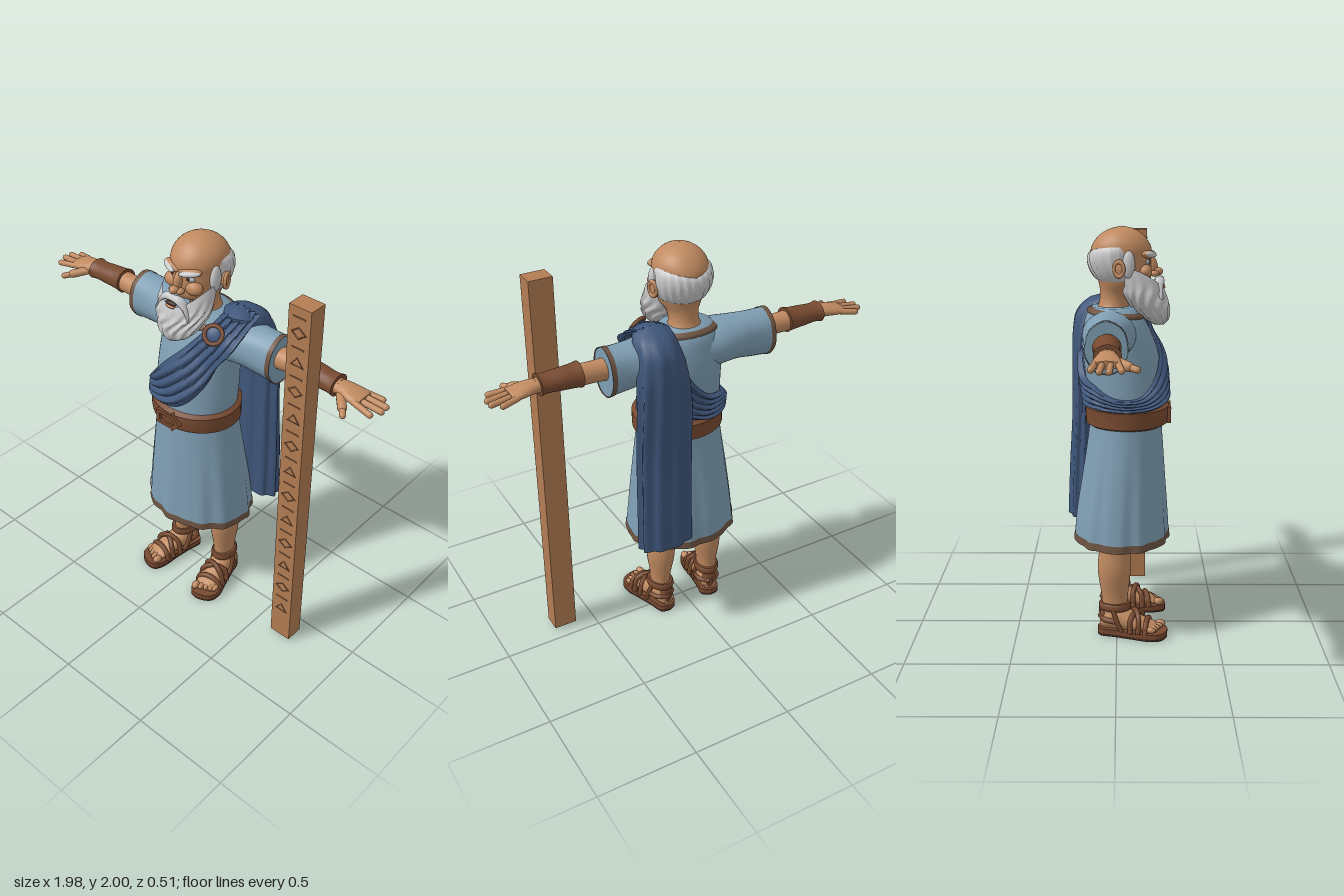
import * as THREE from 'three';
import { mergeVertices, toCreasedNormals } from 'three/addons/utils/BufferGeometryUtils.js';

const { sin, cos, PI, min, max, abs } = Math;
const TAU = PI * 2;
const V = (x, y, z) => new THREE.Vector3(x, y, z);
const paint = (name, color, side = THREE.FrontSide) => {
  const m = new THREE.MeshStandardMaterial({ color, side });
  m.name = name;
  return m;
};
const skin = paint('skin', 0xc08a60), tunic = paint('tunicBlue', 0x7f9eb3), cloak = paint('cloakBlue', 0x3f567a, THREE.DoubleSide);
const leather = paint('leather', 0x784a30), trim = paint('trim', 0x6e5442, THREE.DoubleSide), hair = paint('hair', 0xc9c9cb);
const wood = paint('wood', 0xb27c53), dark = paint('darkLeather', 0x3f261c), carving = paint('carving', 0x8d5d3c);
const eyeWhite = paint('eye', 0xa9b4b8);

// Grid surface, welded and smoothed
function grid(nu, nv, f, crease = 0.95) {
  const pos = [], index = [];
  for (let j = 0; j <= nv; j++) for (let i = 0; i <= nu; i++) pos.push(...f(i / nu, j / nv, j).toArray());
  for (let j = 0; j < nv; j++) for (let i = 0; i < nu; i++) {
    const a = j * (nu + 1) + i, b = a + 1, c = a + nu + 1, d = c + 1;
    index.push(a, b, d, a, d, c);
  }
  const g = new THREE.BufferGeometry();
  g.setAttribute('position', new THREE.Float32BufferAttribute(pos, 3));
  g.setIndex(index);
  return toCreasedNormals(mergeVertices(g, 1e-5), crease);
}
// Rows are [t, centre, radius, centre, radius]; body rows are [y, rx, front, back]
const body = rows => rows.map(([y, rx, f, b]) => [y, 0, rx, (f + b) / 2, (f - b) / 2]);
const sampler = rows => {
  const s = new THREE.CubicInterpolant(new Float32Array(rows.map(r => r[0])), new Float32Array(rows.flatMap(r => r.slice(1))), 4);
  return t => [...s.evaluate(t)];
};
const place = {
  y: (t, c, r, d, q, a) => V(c + r * sin(a), t, d + q * cos(a)),
  x: (t, c, r, d, q, a) => V(t, c + r * cos(a), d + q * sin(a)),
  z: (t, c, r, d, q, a) => V(d - q * sin(a), c + r * cos(a), t),
};
// Ellipses lofted along an axis, closed at both ends unless cap is false
function loft(rows, axis, { nu = 32, nv = 20, ripple = () => 1, cap = true, from = rows[0][0], to = rows[rows.length - 1][0] } = {}) {
  const at = sampler(rows), e = cap ? 1 : 0;
  return grid(nu, nv + 2 * e, (u, v, j) => {
    const t = from + (to - from) * min(1, max(0, (j - e) / nv)), a = (u % 1) * TAU;
    const k = cap && (j === 0 || j === nv + 2) ? 0 : ripple(a, t);
    const [c, r, d, q] = at(t);
    return place[axis](t, c, r * k, d, q * k, a);
  });
}
// Layer lying over a lofted body between two heights
function shell(rows, a0, a1, lo, hi, off, nu = 64, nv = 14) {
  const at = sampler(rows);
  return grid(nu, nv, (u, v) => {
    const a = a0 + (a1 - a0) * u, y = lo(a) + (hi(a) - lo(a)) * v, [c, r, d, q] = at(y), o = off(a, v, u);
    return place.y(y, c, r + o, d, q + o, a);
  });
}
function add(parent, name, geo, mat, p = [0, 0, 0], s = [1, 1, 1], r = [0, 0, 0]) {
  const m = new THREE.Mesh(geo, mat);
  m.name = name;
  m.position.set(...p); m.scale.set(...s); m.rotation.set(...r);
  parent.add(m);
  return m;
}
const ball = new THREE.SphereGeometry(1, 24, 16);
const tube = (pts, r) => new THREE.TubeGeometry(new THREE.CatmullRomCurve3(pts.map(p => V(...p))), 20, r, 8);
function capsule(parent, name, a, b, r, mat) {
  const p = V(...a), q = V(...b), m = add(parent, name, new THREE.CapsuleGeometry(r, p.distanceTo(q), 6, 12), mat);
  m.position.copy(p).add(q).multiplyScalar(0.5);
  m.quaternion.setFromUnitVectors(V(0, 1, 0), q.sub(p).normalize());
}
// Mirrored copy of a group with corners reordered
function mirror(group, name) {
  const out = new THREE.Group();
  out.name = name;
  group.updateMatrixWorld(true);
  group.traverse(m => {
    if (!m.isMesh) return;
    const g = m.geometry.index ? m.geometry.toNonIndexed() : m.geometry.clone();
    g.applyMatrix4(m.matrixWorld).scale(-1, 1, 1);
    for (const a of Object.values(g.attributes)) for (let i = 0; i < a.count; i += 3) for (let k = 0; k < a.itemSize; k++) {
      const t = a.getComponent(i + 1, k);
      a.setComponent(i + 1, k, a.getComponent(i + 2, k)); a.setComponent(i + 2, k, t);
    }
    add(out, m.name, g, m.material);
  });
  return out;
}

const torso = body([[1, .205, .21, -.13], [1.1, .205, .232, -.13], [1.2, .208, .225, -.14], [1.35, .2, .212, -.16], [1.45, .2, .185, -.168],
  [1.53, .195, .15, -.16], [1.59, .165, .115, -.145], [1.625, .125, .085, -.12]]);
const skirt = body([[.47, .283, .255, -.21], [.6, .27, .248, -.2], [.8, .247, .235, -.17], [1, .22, .222, -.14], [1.1, .207, .215, -.13]]);
const head = body([[1.59, .095, .06, -.11], [1.64, .072, .06, -.085], [1.69, .075, .09, -.08], [1.73, .1, .15, -.085], [1.79, .117, .163, -.105],
  [1.85, .125, .163, -.122], [1.9, .126, .163, -.122], [1.94, .112, .142, -.1], [1.975, .077, .105, -.06], [1.992, .042, .07, -.02], [2, .008, .035, .015]]);
const beard = body([[1.535, .015, .225, .18], [1.56, .068, .245, .14], [1.62, .115, .25, .07], [1.68, .137, .235, .02], [1.73, .135, .215, 0], [1.82, .128, .165, -.03]]);

function buildSash() {
  const curve = pts => new THREE.CatmullRomCurve3(pts.map(p => V(...p)));
  const top = curve([[.12, 1.65, -.05], [.12, 1.6, .09], [.03, 1.48, .17], [-.1, 1.34, .2], [-.2, 1.22, .12], [-.21, 1.21, 0], [-.17, 1.26, -.12],
    [-.05, 1.3, -.17], [.06, 1.42, -.17], [.1, 1.6, -.12]]);
  const low = curve([[.28, 1.645, -.05], [.27, 1.54, .1], [.19, 1.36, .15], [.05, 1.19, .22], [-.13, 1.15, .17], [-.215, 1.14, .05], [-.17, 1.14, -.08],
    [-.03, 1.15, -.15], [.1, 1.22, -.17], [.2, 1.4, -.16]]);
  const at = sampler(torso);
  return grid(90, 40, (u, v) => {
    const p = top.getPoint(u).lerp(low.getPoint(u), v), [, rx, cz, rz] = at(min(p.y, 1.62));
    const d = Math.hypot(p.x / rx, (p.z - cz) / rz), k = THREE.MathUtils.smoothstep(p.y, 1.35, 1.55);
    const s = THREE.MathUtils.lerp(1, max(1, d), k) / d;
    p.x *= s; p.z = cz + (p.z - cz) * s;
    const n = V(p.x / rx, max(0, (p.y - 1.5) * 8), (p.z - cz) / rz).normalize();
    const edge = min(1, 9 * min(v, 1 - v));
    return p.addScaledVector(n, .004 + edge * (.014 + .018 * abs(sin(PI * (5 * v + .5 * sin(4 * u))))));
  });
}

function buildHead(root) {
  const g = new THREE.Group();
  g.name = 'headGroup';
  add(g, 'head', loft(head, 'y', { nu: 40, nv: 44 }), skin);
  add(g, 'hairFringe', shell(head, 1.4, TAU - 1.4, () => 1.745, a => 1.885 + .03 * abs(sin(a)), (a, v, u) =>
    -.004 + min(1, 8 * min(u, 1 - u)) * sin(PI * v) ** .5 * (.025 + .004 * sin(24 * a + 5 * v)), 100, 14), hair);
  add(g, 'beard', shell(beard, -PI, PI, () => 1.535, a => 1.715 + .09 * sin(a) ** 2, (a, v) =>
    (.006 * sin(13 * a + 4 * sin(6 * v)) - .002) * sin(PI * min(1, v + .1)), 110, 24), hair);
  const side = new THREE.Group();
  add(side, 'sideburn', ball, hair, [.119, 1.83, .055], [.022, .065, .03]);
  add(side, 'ear', ball, skin, [.137, 1.81, .012], [.014, .042, .03], [0, .35, 0]);
  add(side, 'earRim', new THREE.TorusGeometry(.024, .008, 8, 18), skin, [.147, 1.812, .01], [1, 1.4, 1], [0, PI / 2 + .3, 0]);
  add(side, 'brow', ball, skin, [.05, 1.872, .143], [.055, .02, .03], [0, .3, .1]);
  add(side, 'eyebrow', ball, hair, [.06, 1.872, .159], [.05, .014, .018], [0, .5, .12]);
  add(side, 'eyeball', ball, eyeWhite, [.05, 1.838, .143], [.024, .014, .012], [0, .25, 0]);
  add(side, 'iris', ball, dark, [.048, 1.838, .153], [.009, .011, .004], [0, .2, 0]);
  add(side, 'cheek', ball, skin, [.062, 1.793, .132], [.045, .035, .034]);
  add(side, 'nostril', ball, skin, [.022, 1.78, .178], [.017, .015, .022]);
  add(side, 'moustache', loft([[.0, 1.752, .012, .205, .018], [.04, 1.748, .018, .203, .022], [.075, 1.715, .017, .196, .022], [.098, 1.67, .008, .205, .012]], 'x', { nu: 16, nv: 12 }), hair);
  g.add(side, mirror(side, 'rightFace'));
  side.name = 'leftFace';
  add(g, 'noseBridge', ball, skin, [0, 1.822, .164], [.02, .05, .028], [-.3, 0, 0]);
  add(g, 'noseTip', ball, skin, [0, 1.788, .193], [.022, .02, .026]);
  add(g, 'mouth', ball, dark, [0, 1.728, .215], [.032, .011, .012]);
  add(g, 'lowerLip', ball, skin, [0, 1.715, .22], [.026, .008, .012]);
  root.add(g);
}

function buildArm() {
  const g = new THREE.Group();
  g.name = 'leftArm';
  const sleeve = [[.06, 1.5, .105, -.035, .12], [.14, 1.503, .113, -.035, .128], [.24, 1.503, .108, -.04, .115], [.33, 1.495, .113, -.043, .1], [.43, 1.49, .118, -.045, .097]];
  add(g, 'sleeve', loft(sleeve, 'x', { nu: 40, ripple: (a, t) => 1 + .012 * max(0, t - .15) * 4 * cos(7 * a) }), tunic);
  add(g, 'sleeveTrim', loft(sleeve, 'x', { nu: 40, nv: 3, from: .41, to: .434, cap: false, ripple: a => 1.03 + .012 * cos(7 * a) }), trim);
  add(g, 'forearm', loft([[.36, 1.5, .058, -.04, .058], [.48, 1.505, .05, -.04, .05], [.6, 1.508, .05, -.04, .05], [.76, 1.508, .033, -.035, .042]], 'x'), skin);
  add(g, 'bracer', loft([[.55, 1.512, .061, -.04, .064], [.575, 1.512, .056, -.04, .06], [.65, 1.511, .05, -.038, .057], [.725, 1.51, .045, -.035, .056], [.748, 1.51, .05, -.035, .061]], 'x'), leather);
  add(g, 'palm', loft([[.74, 1.51, .03, -.035, .038], [.79, 1.508, .03, -.035, .05], [.85, 1.502, .024, -.036, .06], [.885, 1.498, .017, -.036, .056]], 'x'), skin);
  [[-.084, -.1, .935], [-.055, -.065, .975], [-.02, -.025, .978], [.01, .025, .955]].forEach(([z0, z1, x]) =>
    capsule(g, 'finger', [.86, 1.499, z0], [x, 1.488, z1], .0145, skin));
  capsule(g, 'thumb', [.785, 1.497, .0], [.835, 1.482, .055], .021, skin);
  capsule(g, 'thumbTip', [.832, 1.482, .052], [.862, 1.475, .088], .015, skin);
  return g;
}

function buildLeg() {
  const g = new THREE.Group();
  g.name = 'leftLeg';
  add(g, 'leg', loft([[.06, .142, .046, -.008, .056], [.2, .14, .049, -.01, .065], [.34, .136, .07, -.012, .082], [.45, .131, .067, -.008, .078], [.6, .13, .075, 0, .085]], 'y'), skin);
  const f = new THREE.Group();
  f.name = 'foot';
  f.position.set(.143, 0, 0); f.rotation.y = .2;
  const outline = new THREE.Shape().setFromPoints(new THREE.SplineCurve([[0, -.097], [.046, -.075], [.054, 0], [.068, .1], [.077, .17], [.058, .23], [-.005, .253],
    [-.06, .235], [-.07, .17], [-.058, .09], [-.05, 0], [-.046, -.075], [0, -.097]].map(p => new THREE.Vector2(...p))).getPoints(48).slice(0, -1));
  const sole = depth => new THREE.ExtrudeGeometry(outline, { depth, bevelEnabled: false }).rotateX(PI / 2);
  add(f, 'soleBottom', sole(.012), dark, [0, .012, 0]);
  add(f, 'sole', sole(.024), leather, [0, .036, 0]);
  add(f, 'footBody', loft([[-.08, .06, .028, 0, .034], [-.05, .08, .055, 0, .048], [0, .09, .065, 0, .054], [.06, .078, .052, 0, .056], [.12, .063, .036, 0, .06], [.18, .052, .022, 0, .058], [.205, .046, .014, 0, .052]], 'z'), skin);
  [-.046, -.016, .01, .034, .055].forEach((x, i) => add(f, 'toe', ball, skin, [x, .052, .212 - .008 * i], [i ? .013 : .019, i ? .015 : .019, .026]));
  [[.155, .155, .09], [.075, .12, .13], [.12, .08, .122]].forEach(([z0, z1, h]) =>
    add(f, 'footStrap', tube([[-.066, .03, z0], [-.05, h * .8, z0], [0, h, (z0 + z1) / 2], [.05, h * .8, z1], [.068, .03, z1]], .013), leather));
  for (const s of [-1, 1]) {
    add(f, 'sideStrap', tube([[s * .052, .15, -.01], [s * .058, .09, .01], [s * .055, .03, .035]], .012), leather);
    add(f, 'heelStrap', tube([[s * .054, .08, .01], [s * .047, .085, -.045], [0, .09, -.085]], .014), leather);
  }
  add(f, 'heelGuard', ball, leather, [0, .085, -.062], [.038, .065, .024]);
  add(f, 'ankleBand', loft([[.132, 0, .058, -.01, .074], [.14, 0, .063, -.01, .079], [.162, 0, .063, -.01, .079], [.17, 0, .058, -.01, .074]], 'y', { nv: 6 }), leather);
  g.add(f);
  return g;
}

function buildStaff(root) {
  const g = new THREE.Group();
  g.name = 'staff';
  add(g, 'post', new THREE.BoxGeometry(.115, 1.94, .09), wood, [.658, .98, .11]);
  // Carved ornament: bars between triangles and diamonds
  for (let i = 0; i < 12; i++) {
    const y = .2 + i * .148;
    add(g, 'carvedBar', new THREE.BoxGeometry(.065, .007, .006), carving, [.658, y + .074, .155]);
    add(g, 'carvedMark', new THREE.TorusGeometry(.03, .004, 6, 3 + i % 2), carving, [.658, y, .155], [.9, 1.2, 1], [0, 0, PI / 2]);
  }
  root.add(g);
}

export function createModel() {
  const root = new THREE.Group();
  root.name = 'robedElder';
  // Tunic, belt and trims
  const pleat = (a, t) => 1 + .03 * (1.1 - t) * (cos(11 * a) + .6 * cos(17 * a + 1));
  add(root, 'tunicTop', loft(torso, 'y', { nu: 48, nv: 30 }), tunic);
  add(root, 'skirt', loft(skirt, 'y', { nu: 120, nv: 24, ripple: pleat }), tunic);
  add(root, 'skirtHem', loft(skirt, 'y', { nu: 120, nv: 2, from: .468, to: .505, cap: false, ripple: (a, t) => pleat(a, t) + .012 }), trim);
  add(root, 'collar', shell(torso, 0, TAU, a => 1.585 - .015 * cos(a), a => 1.61 - .015 * cos(a), (a, v) => .004 + .008 * sin(PI * v), 64, 6), trim);
  add(root, 'belt', shell(torso, 0, TAU, () => 1.05, () => 1.157, (a, v) => .022 * min(1, 8 * min(v, 1 - v)), 64, 16), leather);
  const buckle = new THREE.Shape([[-.065, -.038], [.03, -.038], [.03, -.052], [.08, 0], [.03, .052], [.03, .038], [-.065, .038]].map(p => new THREE.Vector2(...p)));
  buckle.holes.push(new THREE.Path([[-.045, -.02], [-.045, .02], [.03, .02], [.05, 0], [.03, -.02]].map(p => new THREE.Vector2(...p))));
  add(root, 'buckle', new THREE.ExtrudeGeometry(buckle, { depth: .02, bevelEnabled: false }), leather, [0, 1.102, .243]);
  // Cloak
  add(root, 'sash', buildSash(), cloak);
  add(root, 'cape', loft([[.54, .195, .14, -.18, .068], [.8, .195, .138, -.175, .063], [1.1, .188, .138, -.165, .058], [1.35, .185, .132, -.162, .06], [1.5, .19, .118, -.14, .078],
    [1.58, .192, .105, -.1, .1], [1.63, .19, .092, -.06, .095], [1.658, .185, .065, -.045, .06], [1.668, .18, .02, -.04, .02]], 'y',
  { nu: 96, nv: 50, ripple: (a, t) => 1 + .07 * cos(9 * a + .6 * sin(3 * t)) * min(1, (1.68 - t) * 4) }), cloak);
  add(root, 'brooch', new THREE.TorusGeometry(.042, .01, 8, 28), leather, [.17, 1.592, .125], [1, 1, 1], [-.6, .35, 0]);
  add(root, 'broochDisc', ball, cloak, [.17, 1.59, .118], [.04, .04, .016], [-.6, .35, 0]);
  // Head, limbs and staff
  buildHead(root);
  for (const [limb, name] of [[buildArm(), 'rightArm'], [buildLeg(), 'rightLeg']]) root.add(limb, mirror(limb, name));
  buildStaff(root);
  return root;
}
